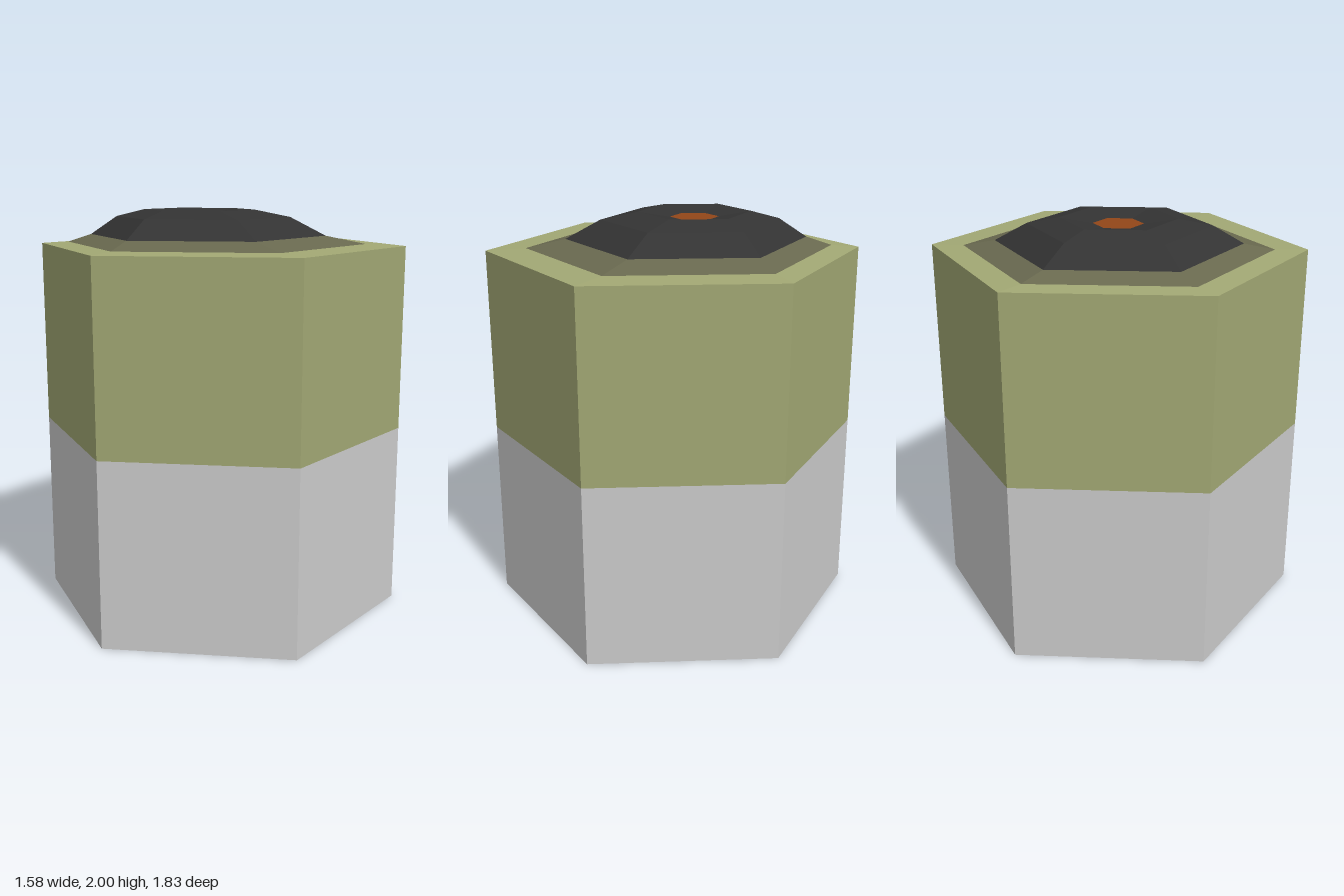
import * as THREE from 'three';

const SIDES = 6;

// Hexagonal section: radius, height and the drift of its centre
const ring = (r, y, x = 0, z = 0) => ({ r, y, x, z });

function corner({ r, y, x, z }, i) {
  const a = (i / SIDES) * Math.PI * 2;
  return [x + r * Math.sin(a), y, z + r * Math.cos(a)];
}

// Flat-sided skin through successive rings, running from the outside/bottom to the inside/top
function skin(rings) {
  const pos = [];
  for (let k = 0; k < rings.length - 1; k++) {
    for (let i = 0; i < SIDES; i++) {
      const a = corner(rings[k], i), b = corner(rings[k], i + 1);
      const c = corner(rings[k + 1], i + 1), d = corner(rings[k + 1], i);
      if (rings[k].r > 0) pos.push(...a, ...b, ...c);
      if (rings[k + 1].r > 0) pos.push(...a, ...c, ...d);
    }
  }
  const geo = new THREE.BufferGeometry();
  geo.setAttribute('position', new THREE.Float32BufferAttribute(pos, 3));
  geo.computeVertexNormals();
  return geo;
}

export function createModel() {
  const model = new THREE.Group();
  model.name = 'volcanoTile';

  const add = (name, color, ...rings) => {
    const mat = new THREE.MeshStandardMaterial({ color, flatShading: true });
    const mesh = new THREE.Mesh(skin(rings), mat);
    mesh.name = name;
    model.add(mesh);
  };

  // Sections shared by neighbouring parts
  const middle = ring(0.915, 0.915);
  const grassEdge = ring(0.752, 1.837, -0.018, -0.03);
  const foot = ring(0.595, 1.875, -0.045, -0.065);
  const shoulder = ring(0.44, 1.965, -0.06, -0.083);
  const rim = ring(0.28, 2, -0.07, -0.105);
  const pool = ring(0.121, 1.975, -0.07, -0.105);

  // Stone column with its closed underside
  add('stoneBase', 0xcccccc, ring(0, 0), ring(0.915, 0), middle);
  // Grass block and its top border
  add('grassBlock', 0xa2a874, middle, ring(0.915, 1.83), grassEdge);
  // Ash skirt around the mountain
  add('ashSkirt', 0x69694f, grassEdge, foot);
  // Dark cone, with the crater sinking inside its rim
  add('volcanoCone', 0x333333, foot, shoulder, rim, pool);
  // Lava at the bottom of the crater
  add('lavaPool', 0x934618, pool, { ...pool, r: 0 });

  return model;
}
